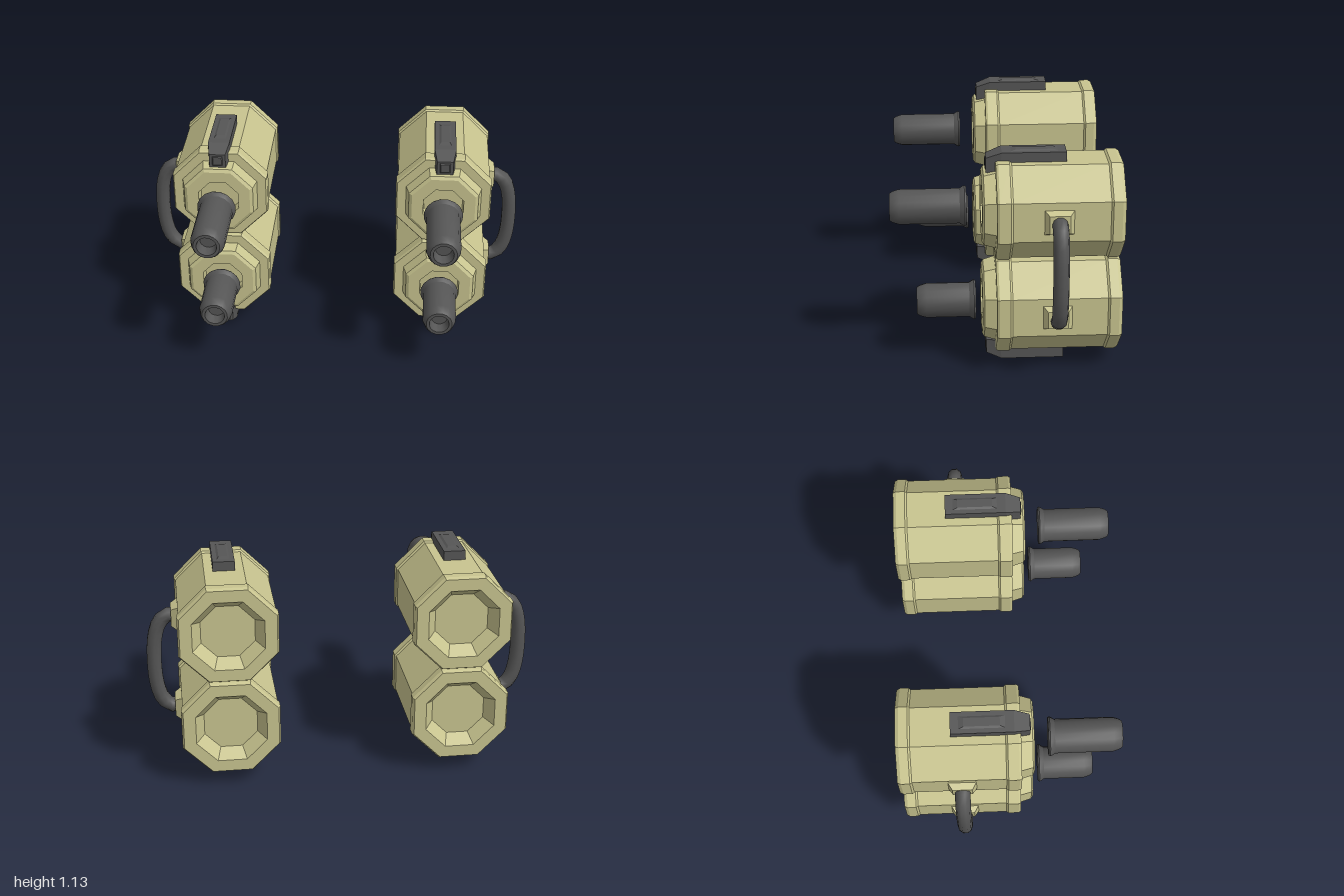
import * as THREE from 'three';
import { toCreasedNormals } from 'three/addons/utils/BufferGeometryUtils.js';

const tan = new THREE.MeshStandardMaterial({ color: 0xc8c48f, flatShading: true });
const dark = new THREE.MeshStandardMaterial({ color: 0x555555, flatShading: true });
const darkSmooth = new THREE.MeshStandardMaterial({ color: 0x555555 });

function add(parent, name, geometry, material) {
  const mesh = new THREE.Mesh(geometry, material);
  mesh.name = name;
  parent.add(mesh);
  return mesh;
}

// Turned part along z from [radius, z] pairs listed from back to front
function turned(profile, sides, scale = 1) {
  const points = profile.map(([r, z]) => new THREE.Vector2(r * scale, z));
  return new THREE.LatheGeometry(points, sides, Math.PI / sides).rotateX(Math.PI / 2);
}

// Block standing on y = 0 whose top is smaller than its base
function frustum(w, d, topW, topD, h) {
  const g = new THREE.BoxGeometry(w, h, d).translate(0, h / 2, 0);
  const p = g.attributes.position;
  for (let i = 0; i < p.count; i++) {
    if (p.getY(i) > h / 2) {
      p.setX(i, p.getX(i) * topW / w);
      p.setZ(i, p.getZ(i) * topD / d);
    }
  }
  g.computeVertexNormals();
  return g;
}

// Octagonal housing: hollow back, two collars, stepped nose with a socket
function housingGeometry() {
  return turned([
    [0, -0.5], [0.135, -0.5], [0.18, -0.567], [0.241, -0.567], [0.25, -0.55],
    [0.25, -0.505], [0.242, -0.495], [0.242, -0.025], [0.25, -0.015],
    [0.25, 0.04], [0.243, 0.052], [0.197, 0.052], [0.181, 0.11], [0.165, 0.12],
    [0.105, 0.12], [0.1, 0.06], [0, 0.06],
  ], 8, 1 / Math.cos(Math.PI / 8));
}

// Round barrel with a flange at the back and a bore in the tip
function barrelGeometry(back, tip) {
  return toCreasedNormals(turned([
    [0, back], [0.097, back], [0.102, back + 0.009], [0.099, back + 0.016],
    [0.088, back + 0.033], [0.088, tip - 0.047], [0.078, tip - 0.015],
    [0.068, tip], [0.052, tip], [0.042, tip - 0.06], [0, tip - 0.06],
  ], 16), 0.5);
}

// Clip over the front collar, heights measured from the housing axis
function clip() {
  const group = new THREE.Group();
  group.name = 'clip';
  const shape = new THREE.Shape([
    [-0.295, 0.2], [0.03, 0.2], [0.04, 0.187], [0.098, 0.187],
    [0.098, 0.261], [0.02, 0.291], [-0.295, 0.291],
  ].map(([z, y]) => new THREE.Vector2(z, y)));
  const g = new THREE.ExtrudeGeometry(shape, { depth: 0.112, bevelEnabled: false });
  g.translate(0, 0, -0.056).rotateY(-Math.PI / 2);
  const p = g.attributes.position;
  for (let i = 0; i < p.count; i++) {
    if (p.getZ(i) > 0.09) p.setX(i, p.getX(i) * 0.75);
  }
  g.computeVertexNormals();
  add(group, 'clipBody', g, dark);
  add(group, 'clipPanel', frustum(0.064, 0.23, 0.044, 0.18, 0.006), dark)
    .position.set(0, 0.291, -0.14);
  const front = add(group, 'clipFrontPanel', frustum(0.054, 0.054, 0.044, 0.044, 0.004), dark);
  front.rotation.x = Math.PI / 2;
  front.position.set(0, 0.224, 0.098);
  return group;
}

// Curved carrying handle on the outer side, relative to the pod centre line
function handle(side) {
  const group = new THREE.Group();
  group.name = 'handle';
  const path = new THREE.CatmullRomCurve3([
    [0.25, 0.833], [0.3, 0.832], [0.342, 0.785], [0.365, 0.7], [0.372, 0.58],
    [0.365, 0.46], [0.342, 0.375], [0.3, 0.327], [0.25, 0.326],
  ].map(([x, y]) => new THREE.Vector3(side * x, y, -0.247)));
  add(group, 'handleTube', new THREE.TubeGeometry(path, 16, 0.039, 10), darkSmooth);
  for (const y of [0.833, 0.326]) {
    const pad = add(group, 'handlePad', frustum(0.128, 0.148, 0.09, 0.1, 0.038), tan);
    pad.rotation.z = -side * Math.PI / 2;
    pad.position.set(side * 0.238, y, -0.247);
  }
  return group;
}

export function createModel() {
  const model = new THREE.Group();
  model.name = 'twinCannonPods';
  for (const side of [-1, 1]) {
    const pod = new THREE.Group();
    pod.name = side > 0 ? 'leftPod' : 'rightPod';
    pod.position.x = side * 0.59;
    model.add(pod);

    // Stacked housings and barrels
    add(pod, 'upperHousing', housingGeometry(), tan).position.y = 0.833;
    add(pod, 'lowerHousing', housingGeometry(), tan).position.y = 0.326;
    add(pod, 'upperBarrel', barrelGeometry(0.193, 0.57), darkSmooth).position.y = 0.833;
    add(pod, 'lowerBarrel', barrelGeometry(0.15, 0.447), darkSmooth).position.y = 0.32;

    // Clips above and below
    const topClip = clip();
    topClip.position.y = 0.833;
    const bottomClip = clip();
    bottomClip.rotation.z = Math.PI;
    bottomClip.position.y = 0.298;
    pod.add(topClip, bottomClip, handle(side));
  }
  return model;
}
